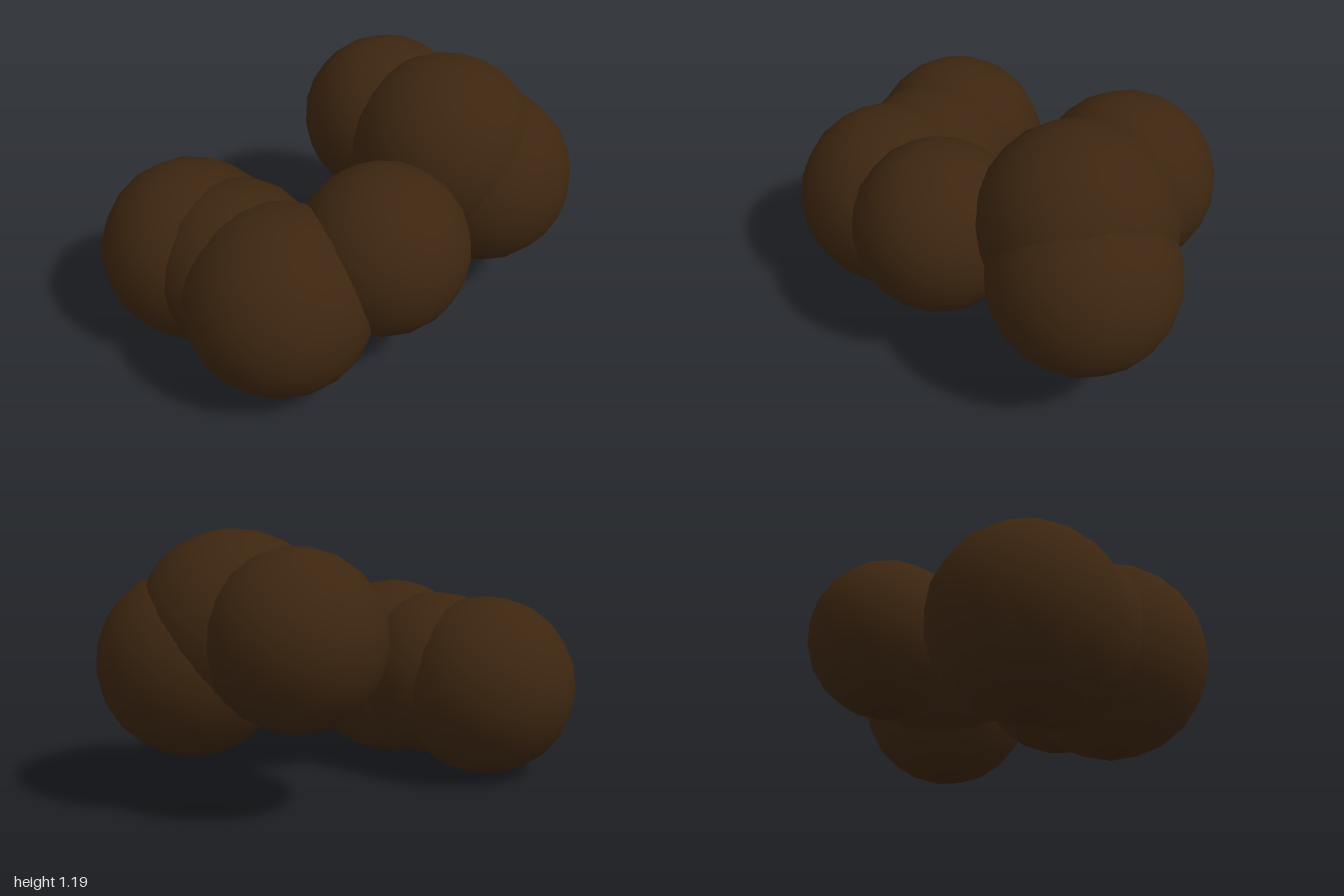
import * as THREE from 'three';

// Lumps of a curved clump: name, centre x, y, z, radius
const LUMPS = [
  ['leftEndLump', -0.58, 0.42, 0.295, 0.42],
  ['leftInnerLump', -0.33, 0.45, 0.37, 0.39],
  ['frontLump', -0.07, 0.44, 0.525, 0.43],
  ['middleLump', 0.3, 0.585, 0.22, 0.387],
  ['topLump', 0.405, 0.76, -0.39, 0.435],
  ['sideLump', 0.587, 0.615, -0.44, 0.414],
  ['backLump', 0.07, 0.755, -0.567, 0.388],
];

export function createModel() {
  const group = new THREE.Group();
  group.name = 'lumpyClump';
  const brown = new THREE.MeshStandardMaterial({ color: 0x3d2610 });
  brown.name = 'darkBrown';

  // Coarse, smoothly shaded balls, each turned a little differently
  const ball = new THREE.IcosahedronGeometry(1, 3);
  LUMPS.forEach(([name, x, y, z, r], i) => {
    const lump = new THREE.Mesh(ball, brown);
    lump.name = name;
    lump.position.set(x, y, z);
    lump.rotation.set(i * 0.7, i * 1.1, i * 0.4);
    lump.scale.setScalar(r);
    group.add(lump);
  });
  return group;
}
